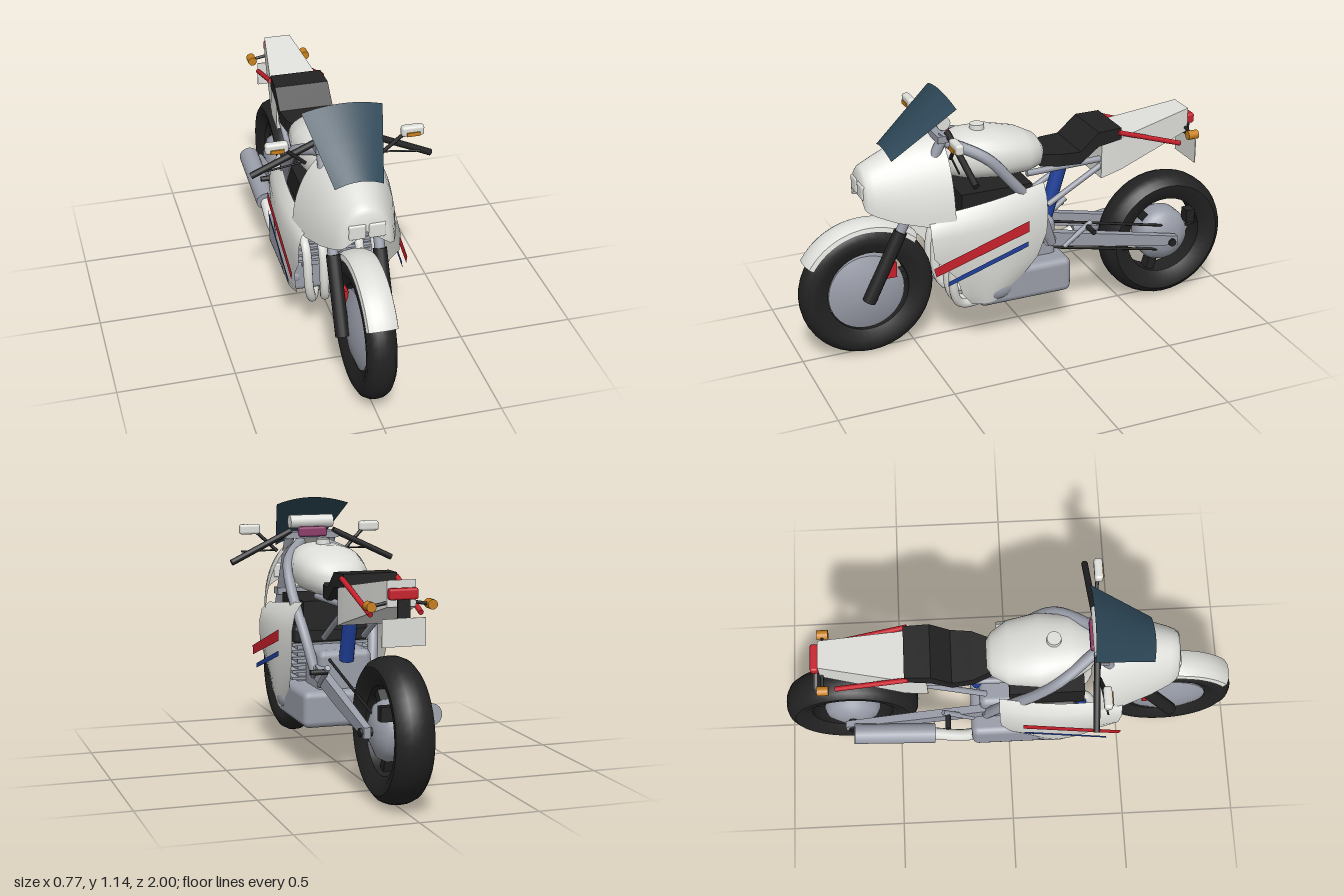
import * as THREE from 'three';
import { toCreasedNormals } from 'three/addons/utils/BufferGeometryUtils.js';
import { RoundedBoxGeometry } from 'three/addons/geometries/RoundedBoxGeometry.js';

const V = (x, y, z) => new THREE.Vector3(x, y, z);

export function createModel() {
  const bike = new THREE.Group();
  bike.name = 'motorcycle';
  const paint = (name, color) => {
    const m = new THREE.MeshStandardMaterial({ color, side: THREE.DoubleSide });
    m.name = name;
    return m;
  };
  const white = paint('white', 0xdededa), black = paint('black', 0x222222), grey = paint('grey', 0x999da8);
  const red = paint('red', 0xc8202c), blue = paint('blue', 0x20409a), orange = paint('orange', 0xc8801e);
  const glass = paint('dark glass', 0x2c4656), pink = paint('magenta', 0x8c3c68);

  function add(name, geo, mat, x = 0, y = 0, z = 0) {
    const m = new THREE.Mesh(geo, mat);
    m.name = name;
    m.position.set(x, y, z);
    bike.add(m);
    return m;
  }
  const box = (name, mat, w, h, d, x, y, z) => add(name, new THREE.BoxGeometry(w, h, d), mat, x, y, z);
  const rounded = (name, mat, w, h, d, r, x, y, z) => add(name, new RoundedBoxGeometry(w, h, d, 2, r), mat, x, y, z);
  // straight round bar between two points
  function rod(name, mat, a, b, r, r2 = r) {
    const dir = b.clone().sub(a);
    const m = add(name, new THREE.CylinderGeometry(r2, r, dir.length(), 14), mat);
    m.position.copy(a).addScaledVector(dir, 0.5);
    m.quaternion.setFromUnitVectors(V(0, 1, 0), dir.normalize());
    return m;
  }
  const tube = (name, mat, pts, r) =>
    add(name, new THREE.TubeGeometry(new THREE.CatmullRomCurve3(pts), 28, r, 10), mat);
  // turned part about the x axis; profile is [radius, x]
  function turned(name, mat, profile, x, y, z, start = 0, length = Math.PI * 2) {
    const g = new THREE.LatheGeometry(profile.map(p => new THREE.Vector2(p[0], p[1])), 40, start, length);
    g.rotateZ(-Math.PI / 2);
    return add(name, toCreasedNormals(g, 0.7), mat, x, y, z);
  }
  // skin over rows of points; closed rows form a tube with end caps
  function skin(name, mat, rows, closed, crease = 0.7) {
    const n = rows[0].length, pos = rows.flat().flatMap(p => p.toArray()), idx = [];
    for (let i = 0; i < rows.length - 1; i++)
      for (let j = 0; j < (closed ? n : n - 1); j++) {
        const a = i * n + j, b = i * n + (j + 1) % n;
        idx.push(a, a + n, b, b, a + n, b + n);
      }
    if (closed) for (let j = 1; j < n - 1; j++) {
      const e = (rows.length - 1) * n;
      idx.push(0, j, j + 1, e, e + j + 1, e + j);
    }
    const g = new THREE.BufferGeometry();
    g.setAttribute('position', new THREE.Float32BufferAttribute(pos, 3));
    g.setIndex(idx);
    return add(name, toCreasedNormals(g, crease), mat);
  }
  // section [z, bottom, top, half width], as a rectangle or an oval
  const rect = (s, cx = 0) => [[1, 0], [1, 1], [-1, 1], [-1, 0]].map(([x, t]) => V(cx + x * s[3], t ? s[2] : s[1], s[0]));
  const oval = ([z, b, t, w]) => Array.from({ length: 28 }, (_, i) => {
    const a = i / 28 * Math.PI * 2, f = c => Math.sign(c) * Math.abs(c) ** 0.85;
    return V(w * f(Math.cos(a)), (b + t) / 2 - (t - b) / 2 * f(Math.sin(a)), z);
  });

  // wheels
  function wheel(name, z, w) {
    turned(name + 'Tyre', black, [[0.18, -w * 0.6], [0.225, -w * 0.95], [0.255, -w], [0.28, -w * 0.75], [0.293, -w * 0.35],
      [0.295, 0], [0.293, w * 0.35], [0.28, w * 0.75], [0.255, w], [0.225, w * 0.95], [0.18, w * 0.6], [0.18, -w * 0.6]], 0, 0.296, z);
    for (let i = 0; i < 3; i++) {
      const a = 0.75 + i * Math.PI * 2 / 3;
      const s = box(name + 'Spoke', black, 0.05, 0.19, 0.04, 0, 0.296 + Math.cos(a) * 0.1, z + Math.sin(a) * 0.1);
      s.rotation.x = a;
    }
  }
  wheel('front', 0.705, 0.062);
  wheel('rear', -0.7, 0.08);
  turned('frontBrakeDiscs', grey, [[0, -0.075], [0.06, -0.07], [0.12, -0.058], [0.168, -0.04], [0.168, 0.04], [0.12, 0.058], [0.06, 0.07], [0, 0.075]], 0, 0.296, 0.715);
  turned('rearHub', grey, [[0, -0.09], [0.06, -0.085], [0.11, -0.06], [0.125, -0.03], [0.125, 0.03], [0.11, 0.06], [0.06, 0.085], [0, 0.09]], 0, 0.296, -0.7);
  rod('rearAxle', black, V(-0.14, 0.296, -0.7), V(0.14, 0.296, -0.7), 0.018);
  rod('frontAxle', black, V(-0.11, 0.296, 0.705), V(0.11, 0.296, 0.705), 0.018);
  box('rearCaliper', black, 0.05, 0.06, 0.04, 0.07, 0.39, -0.81);

  // front mudguard
  turned('frontMudguard', white, [[0.285, -0.066], [0.305, -0.06], [0.318, -0.035], [0.322, 0], [0.318, 0.035], [0.305, 0.06], [0.285, 0.066]],
    0, 0.296, 0.705, -Math.PI * 0.22 + Math.PI / 2 - Math.PI * 0.53, Math.PI * 0.57).rotation.x = 0;
  const guard = bike.children[bike.children.length - 1];
  // aim the arc from low in front to high behind the wheel
  guard.geometry.computeBoundingBox();
  const mid = guard.geometry.boundingBox.getCenter(V(0, 0, 0));
  guard.rotation.x = Math.atan2(mid.z, mid.y) - Math.atan2(0.05, 0.5);
  guard.rotation.x = -guard.rotation.x;

  // nose fairing, open behind and below
  const arch = ([z, b, t, w]) => Array.from({ length: 25 }, (_, i) => {
    const a = i / 24 * Math.PI;
    return V(w * Math.cos(a), b + (t - b) * Math.sin(a), z);
  });
  skin('noseFairing', white, [[0.37, 0.615, 0.965, 0.215], [0.48, 0.62, 0.955, 0.192], [0.6, 0.645, 0.912, 0.155],
    [0.68, 0.675, 0.875, 0.125], [0.71, 0.69, 0.86, 0.108], [0.722, 0.7, 0.845, 0.092], [0.722, 0.76, 0.765, 0.002]].map(arch), false, 0.9);
  // windscreen
  skin('windscreen', glass, [0, 0.5, 1].map(u => Array.from({ length: 13 }, (_, i) => {
    const s = i / 6 - 1, c = 0.028 * (1 - s * s);
    return V(s * (0.1 + 0.068 * u), 0.9 + 0.212 * u + c, 0.605 - 0.262 * u + c * 0.3);
  })), false);
  for (const s of [1, -1]) rounded('headlight', white, 0.07, 0.066, 0.02, 0.009, s * 0.041, 0.768, 0.719);

  // fuel tank, seat and tail
  skin('fuelTank', white, [[0.37, 0.81, 0.9, 0.05], [0.345, 0.77, 0.93, 0.09], [0.26, 0.745, 0.95, 0.14], [0.13, 0.735, 0.945, 0.16],
    [0.0, 0.735, 0.915, 0.14], [-0.07, 0.745, 0.88, 0.095], [-0.092, 0.77, 0.85, 0.06]].map(oval), true, 0.9);
  add('tankCap', new THREE.CylinderGeometry(0.03, 0.032, 0.025, 20), white, 0, 0.955, 0.19);
  skin('seat', black, [[-0.07, 0.755, 0.81, 0.075], [-0.15, 0.755, 0.81, 0.11], [-0.24, 0.755, 0.81, 0.12], [-0.325, 0.82, 0.885, 0.12],
    [-0.435, 0.835, 0.888, 0.115]].map(s => rect(s)), true, 0.3);
  skin('tail', white, [[-0.345, 0.665, 0.82, 0.11], [-0.44, 0.692, 0.842, 0.112], [-0.79, 0.8, 0.905, 0.06]].map(s => rect(s)), true, 0.2);
  rounded('tailLight', red, 0.12, 0.045, 0.035, 0.01, 0, 0.853, -0.808);
  box('plateBracket', black, 0.05, 0.1, 0.012, 0, 0.81, -0.815);
  box('numberPlate', white, 0.18, 0.11, 0.004, 0, 0.705, -0.82);

  // four-cylinder engine
  rounded('crankcase', grey, 0.4, 0.16, 0.43, 0.03, 0, 0.275, 0.045);
  rounded('gearbox', grey, 0.24, 0.2, 0.22, 0.03, 0, 0.42, -0.02);
  box('cylinderBlock', grey, 0.3, 0.22, 0.18, 0, 0.44, 0.18);
  for (let i = 0; i < 6; i++) box('coolingFin', grey, 0.36, 0.012, 0.22, 0, 0.37 + i * 0.03, 0.18);
  rounded('cylinderHead', black, 0.34, 0.08, 0.22, 0.02, 0, 0.56, 0.18);
  box('airbox', black, 0.3, 0.13, 0.32, 0, 0.655, 0.16);
  // exhaust headers and silencer
  for (const x of [-0.15, -0.08, 0.08, 0.15])
    tube('exhaustHeader', white, [V(x, 0.5, 0.26), V(x, 0.46, 0.34), V(x * 0.95, 0.28, 0.36), V(x * 0.8, 0.2, 0.32), V(x * 0.5, 0.18, 0.18), V(x * 0.35 - 0.05, 0.185, -0.02)], 0.02);
  tube('exhaustPipe', white, [V(-0.04, 0.185, 0.03), V(-0.1, 0.19, -0.06), V(-0.16, 0.23, -0.18), V(-0.168, 0.3, -0.36)], 0.027);
  rod('silencer', grey, V(-0.168, 0.3, -0.335), V(-0.17, 0.345, -0.69), 0.045);

  for (const s of [1, -1]) {
    // side fairing, rows of [front z, front y, rear z, rear y, x]
    skin('sideFairing', white, [[0.48, 0.655, -0.045, 0.725, 0.18], [0.48, 0.625, -0.045, 0.67, 0.215], [0.48, 0.57, -0.045, 0.6, 0.228],
      [0.47, 0.48, -0.04, 0.51, 0.228], [0.37, 0.37, 0, 0.4, 0.22], [0.34, 0.28, 0.08, 0.3, 0.208], [0.29, 0.215, 0.14, 0.225, 0.19]]
      .map(([zf, yf, zr, yr, x]) => Array.from({ length: 9 }, (_, i) => {
        const t = i / 8;
        return V(s * (x - 0.012 + 0.024 * Math.sin(Math.PI * t)), yf + (yr - yf) * t, zf + (zr - zf) * t);
      })), false, 0.9);
    // slanted stripes
    const stripe = (name, mat, pts) => skin(name, mat, pts.map(r => r.map(([z, y]) => V(s * 0.247, y, z))), false);
    stripe('redStripe', red, [[[0.485, 0.455], [0.055, 0.595]], [[0.475, 0.415], [0.055, 0.545]]]);
    stripe('blueStripe', blue, [[[0.42, 0.383], [0.06, 0.5]], [[0.425, 0.36], [0.06, 0.477]]]);
    const cover = add('engineCover', new THREE.SphereGeometry(1, 24, 16), grey, s * 0.17, 0.27, 0.18);
    cover.scale.set(0.045, 0.055, 0.085);

    // front fork and steering
    rod('forkLower', black, V(s * 0.098, 0.28, 0.725), V(s * 0.098, 0.58, 0.575), 0.029);
    rod('forkUpper', grey, V(s * 0.098, 0.56, 0.585), V(s * 0.098, 0.98, 0.375), 0.022);
    box('frontCaliper', red, 0.035, 0.07, 0.045, s * 0.068, 0.4, 0.615);
    rod('handlebar', black, V(s * 0.1, 0.99, 0.36), V(s * 0.378, 0.857, 0.345), 0.014);
    rod('lever', black, V(s * 0.17, 0.905, 0.37), V(s * 0.32, 0.9, 0.395), 0.004);
    rod('mirrorStalk', black, V(s * 0.16, 0.9, 0.37), V(s * 0.25, 0.985, 0.385), 0.008);
    rounded('mirror', white, 0.095, 0.045, 0.036, 0.012, s * 0.282, 1.0, 0.39);
    box('frontIndicator', orange, 0.056, 0.017, 0.008, s * 0.282, 0.99, 0.409);
    rod('damperReservoir', blue, V(s * 0.13, 0.55, 0.3), V(s * 0.21, 0.55, 0.3), 0.032);

    // frame, swing arm and rear fittings
    tube('frameSpar', grey, [V(s * 0.05, 0.94, 0.37), V(s * 0.155, 0.87, 0.21), V(s * 0.172, 0.76, 0.11), V(s * 0.155, 0.58, -0.03), V(s * 0.125, 0.41, -0.1)], 0.024);
    rod('subframeStrut', grey, V(s * 0.09, 0.575, -0.1), V(s * 0.09, 0.73, -0.37), 0.013);
    rod('seatRail', grey, V(s * 0.09, 0.74, 0), V(s * 0.09, 0.75, -0.35), 0.014);
    skin('swingArm', grey, [[-0.08, 0.4, 0.465, 0.018], [-0.4, 0.335, 0.395, 0.018], [-0.73, 0.275, 0.32, 0.015]].map(q => rect(q, s * 0.115)), true, 0.3);
    rod('footpeg', black, V(s * 0.13, 0.46, -0.27), V(s * 0.205, 0.46, -0.27), 0.012);
    rod('pegBracket', grey, V(s * 0.13, 0.38, -0.16), V(s * 0.135, 0.48, -0.29), 0.012);
    rod('grabRail', red, V(s * 0.118, 0.87, -0.42), V(s * 0.105, 0.765, -0.73), 0.011);
    rod('rearIndicatorStalk', black, V(s * 0.04, 0.82, -0.78), V(s * 0.12, 0.805, -0.78), 0.007);
    rod('rearIndicator', orange, V(s * 0.126, 0.805, -0.755), V(s * 0.126, 0.805, -0.803), 0.02);
  }

  // steering clamps and instruments
  box('lowerClamp', grey, 0.25, 0.03, 0.06, 0, 0.7, 0.515);
  box('upperClamp', grey, 0.25, 0.03, 0.06, 0, 0.97, 0.38);
  rod('instrumentCluster', white, V(-0.1, 1.03, 0.375), V(0.1, 1.03, 0.375), 0.03);
  rounded('gaugePanel', pink, 0.13, 0.045, 0.04, 0.01, 0, 0.985, 0.355);

  // rear shock, swing arm pivot and chain
  rod('rearShock', blue, V(0, 0.48, -0.13), V(0, 0.72, -0.2), 0.032);
  rod('swingArmPivot', grey, V(-0.14, 0.43, -0.09), V(0.14, 0.43, -0.09), 0.03);
  rod('chainUpper', black, V(0.075, 0.49, -0.1), V(0.075, 0.355, -0.7), 0.006);
  rod('chainLower', black, V(0.075, 0.385, 0), V(0.075, 0.235, -0.7), 0.006);
  rod('rearSprocket', black, V(0.07, 0.296, -0.7), V(0.08, 0.296, -0.7), 0.062);
  return bike;
}
